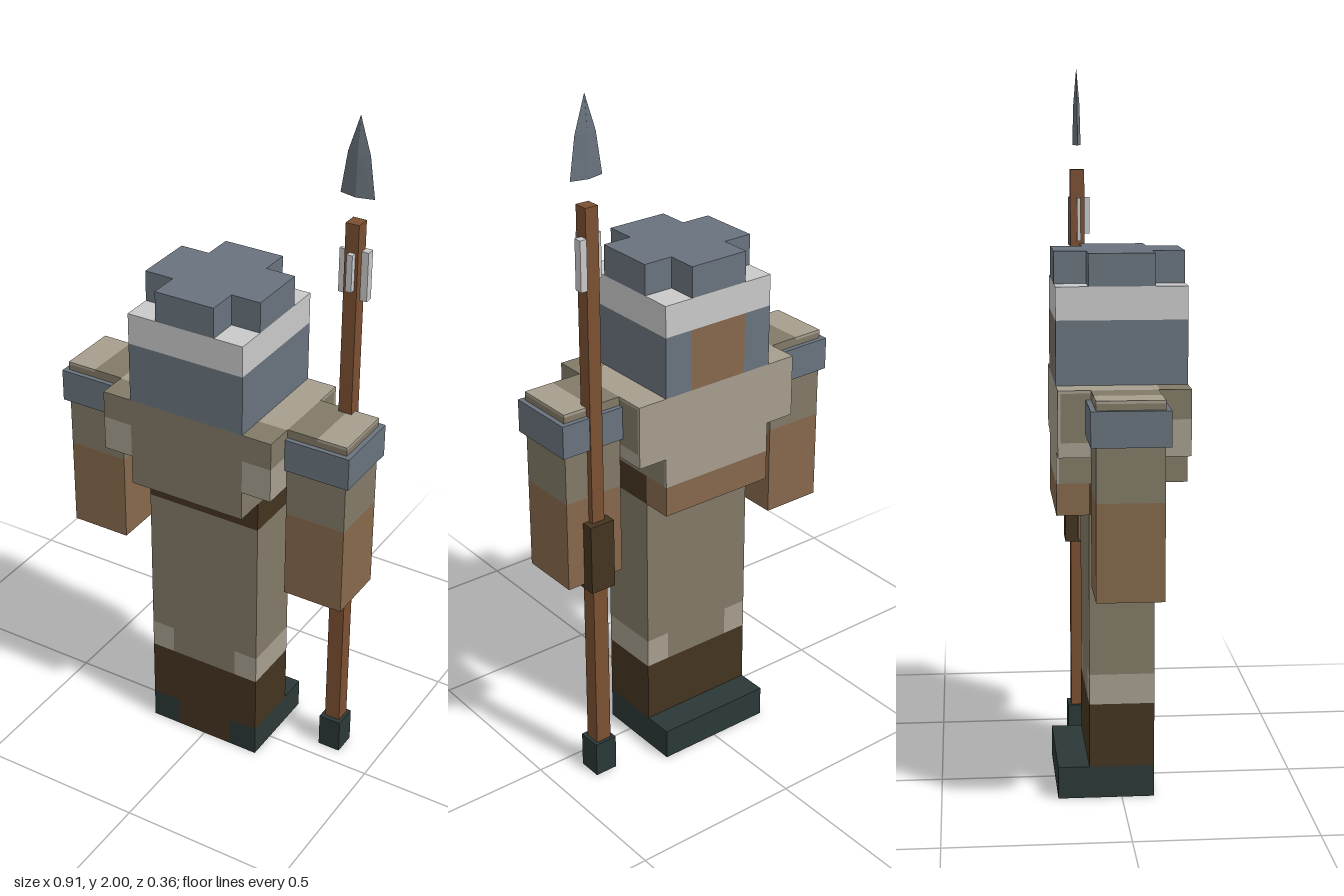
import * as THREE from 'three';

const material = (name, color) => {
  const m = new THREE.MeshStandardMaterial({ color });
  m.name = name;
  return m;
};

export function createModel() {
  const slate = material('slate', 0x69737d);
  const paleGrey = material('pale grey', 0xc9c9c9);
  const khaki = material('khaki', 0x827a67);
  const sand = material('sand', 0xa69e8e);
  const tan = material('tan', 0x86684b);
  const darkBrown = material('dark brown', 0x443420);
  const darkTeal = material('dark teal', 0x2b3837);
  const wood = material('wood', 0x7b5031);

  const model = new THREE.Group();
  model.name = 'spearman';
  const part = (name) => {
    const g = new THREE.Group();
    g.name = name;
    model.add(g);
    return g;
  };
  // Box given by its limits on each axis
  const box = (parent, name, mat, [x0, x1], [y0, y1], [z0, z1]) => {
    const mesh = new THREE.Mesh(new THREE.BoxGeometry(x1 - x0, y1 - y0, z1 - z0), mat);
    mesh.position.set((x0 + x1) / 2, (y0 + y1) / 2, (z0 + z1) / 2);
    mesh.name = name;
    parent.add(mesh);
  };
  // The same box on both sides of x = 0
  const pair = (parent, name, mat, [x0, x1], y, z) => {
    box(parent, name + 'Left', mat, [x0, x1], y, z);
    box(parent, name + 'Right', mat, [-x1, -x0], y, z);
  };

  const W = 0.177, D = 0.09, H = 0.265;
  const legZ = [-D, D];

  // Feet: dark sides and a rear ledge around a brown centre
  const feet = part('feet');
  pair(feet, 'footSide', darkTeal, [D, W], [0, 0.09], legZ);
  box(feet, 'footCentre', darkBrown, [-D, D], [0, 0.09], legZ);
  box(feet, 'footLedge', darkTeal, [-W, W], [0, 0.09], [-0.177, -D]);

  // Legs: boots, worn corners, trousers and belt
  const legs = part('legs');
  box(legs, 'boots', darkBrown, [-W, W], [0.09, 0.27], legZ);
  pair(legs, 'trouserPatch', sand, [0.105, W], [0.27, 0.355], legZ);
  box(legs, 'trouserCuff', khaki, [-0.105, 0.105], [0.27, 0.355], legZ);
  box(legs, 'trousers', khaki, [-W, W], [0.355, 0.805], legZ);
  box(legs, 'belt', darkBrown, [-W, W], [0.805, 0.893], legZ);

  // Torso
  const torso = part('torso');
  const back = -0.178, inner = -0.17, front = 0.178;
  box(torso, 'chest', khaki, [-W, W], [0.893, 1.16], [inner, front]);
  box(torso, 'backPanel', sand, [-W, W], [0.893, 1.16], [back, inner]);
  box(torso, 'backFlap', tan, [-W, W], [0.805, 0.893], [back, -D]);
  pair(torso, 'shoulderBackPanel', sand, [W, H], [0.98, 1.16], [back, inner]);
  pair(torso, 'shoulderTop', sand, [W, H], [1.152, 1.16], [inner, 0.093]);
  pair(torso, 'shoulder', khaki, [W, H], [1.02, 1.152], [inner, 0.093]);
  pair(torso, 'shoulderHem', sand, [W, H], [0.98, 1.02], [inner, 0.093]);
  pair(torso, 'shoulderFront', khaki, [W, H], [1.08, 1.16], [0.093, front]);
  pair(torso, 'shoulderPatch', sand, [W, H], [0.98, 1.08], [0.093, front]);

  // Arms: forearm, sleeve, two-tone top and a metal band
  const arms = part('arms');
  pair(arms, 'forearm', tan, [H, 0.443], [0.63, 0.893], legZ);
  pair(arms, 'sleeve', khaki, [H, 0.443], [0.893, 1.152], legZ);
  pair(arms, 'sleeveTopInner', khaki, [H, 0.355], [1.152, 1.16], legZ);
  pair(arms, 'sleeveTopOuter', sand, [0.355, 0.443], [1.152, 1.16], legZ);
  pair(arms, 'armBand', slate, [0.264, 0.457], [1.04, 1.135], [-0.104, 0.104]);

  // Head and helmet with a cross-shaped crown
  const head = part('head');
  box(head, 'helmet', slate, [-W, W], [1.16, 1.335], [inner, front]);
  pair(head, 'cheekGuard', slate, [D, W], [1.16, 1.335], [back, inner]);
  box(head, 'facePlate', tan, [-D, D], [1.16, 1.335], [back, inner]);
  box(head, 'helmetBand', paleGrey, [-W, W], [1.335, 1.425], [back, front]);
  box(head, 'crownCentre', slate, [-D, D], [1.425, 1.513], [back, front]);
  pair(head, 'crownSide', slate, [D, W], [1.425, 1.513], legZ);

  // Spear shaft and fittings
  const spear = part('spear');
  box(spear, 'spearButt', darkTeal, [0.318, 0.386], [0, 0.105], [-0.12, -0.05]);
  box(spear, 'lowerShaft', wood, [0.329, 0.376], [0.105, 0.64], [-0.11, -0.064]);
  box(spear, 'upperShaft', wood, [0.333, 0.372], [0.64, 1.715], [-0.107, -0.066]);
  box(spear, 'grip', darkBrown, [0.315, 0.391], [0.615, 0.82], [-0.126, -0.05]);
  box(spear, 'featherFront', paleGrey, [0.347, 0.364], [1.53, 1.635], [-0.066, -0.05]);
  box(spear, 'featherRight', paleGrey, [0.312, 0.333], [1.51, 1.635], [-0.088, -0.078]);
  box(spear, 'featherLeft', paleGrey, [0.372, 0.392], [1.495, 1.635], [-0.11, -0.086]);

  // Spearhead: four-sided blade narrowing to a point
  const rings = [[1.785, 0.049, 0.012], [1.9, 0.032, 0.009], [2, 0.0005, 0.0005]];
  const corner = ([y, w, d], i) => [
    0.353 + w * Math.round(Math.cos(i * Math.PI / 2)), y,
    -0.087 + d * Math.round(Math.sin(i * Math.PI / 2))];
  const points = [];
  const quad = (a, b, c, d) => points.push(...a, ...b, ...c, ...a, ...c, ...d);
  for (let r = 0; r < 2; r++) {
    for (let i = 0; i < 4; i++) {
      quad(corner(rings[r], i), corner(rings[r + 1], i),
        corner(rings[r + 1], i + 1), corner(rings[r], i + 1));
    }
  }
  quad(...[0, 1, 2, 3].map((i) => corner(rings[0], i)));
  const blade = new THREE.BufferGeometry();
  blade.setAttribute('position', new THREE.Float32BufferAttribute(points, 3));
  blade.computeVertexNormals();
  const spearhead = new THREE.Mesh(blade, slate);
  spearhead.name = 'spearhead';
  spear.add(spearhead);

  return model;
}
